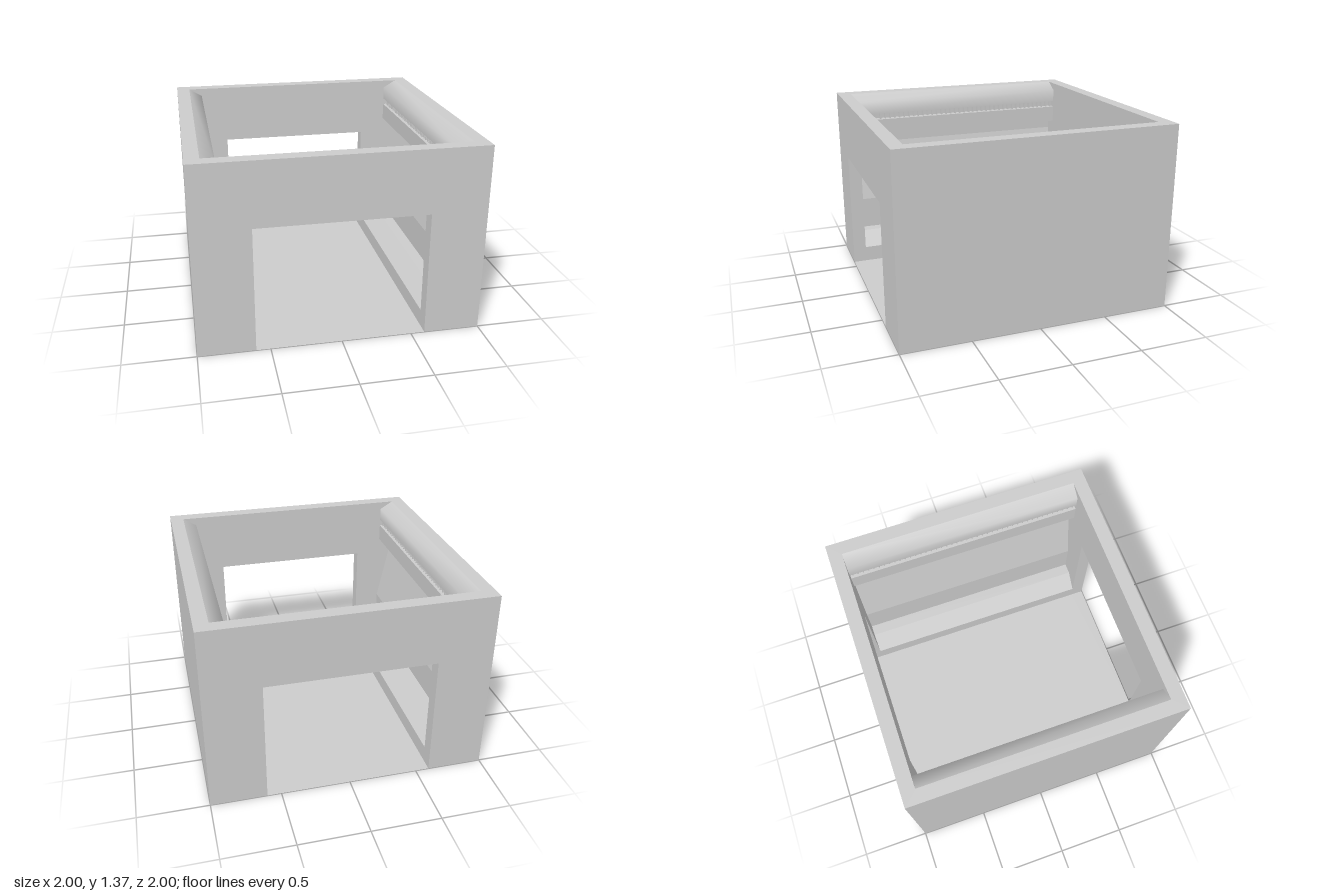
import * as THREE from 'three';

const H = 1.37, DOOR_X = 0.6, DOOR_Y = 0.91, IN = 0.9;

export function createModel() {
  const model = new THREE.Group();
  const panelGrey = new THREE.MeshStandardMaterial({ color: 0xcccccc, side: THREE.DoubleSide });
  panelGrey.name = 'panelGrey';

  const add = (name, geometry, x = 0, y = 0, z = 0) => {
    const mesh = new THREE.Mesh(geometry, panelGrey);
    mesh.name = name;
    mesh.position.set(x, y, z);
    model.add(mesh);
    return mesh;
  };

  // Sweep an open x/y profile along z
  const sweep = (points, half, smooth = false) => {
    const pos = [], idx = [];
    points.forEach(([x, y], i) => {
      pos.push(x, y, half, x, y, -half);
      if (i) { const a = 2 * i - 2; idx.push(a, a + 1, a + 2, a + 1, a + 3, a + 2); }
    });
    let g = new THREE.BufferGeometry();
    g.setAttribute('position', new THREE.Float32BufferAttribute(pos, 3));
    g.setIndex(idx);
    if (!smooth) g = g.toNonIndexed();
    g.computeVertexNormals();
    return g;
  };
  const flat = (points) => new THREE.ShapeGeometry(new THREE.Shape(points.map(([x, y]) => new THREE.Vector2(x, y))));
  const mirror = (points) => points.map(([x, y]) => [-x, y]);

  // Interior side profiles, from the rim down
  const roll = [[IN, H], [0.8, 1.31], [0.8, 1.21]];
  const lining = [[0.8, 1.21], [0.86, 1.21], [0.86, 1.16], [0.8, 1.16], [0.8, 1.03],
    [IN, 1.03], [IN, 0.95], [0.8, 0.48], [0.8, 0]];
  const step = [[0.8, 0.23], [0.715, 0.23], [DOOR_X, 0.12], [DOOR_X, 0]];
  const door = [[DOOR_X, 0], [DOOR_X, DOOR_Y], [-DOOR_X, DOOR_Y], [-DOOR_X, 0]];

  for (const s of [1, -1]) {
    const side = s > 0 ? 'left' : 'right';
    const put = (p) => (s > 0 ? p : mirror(p));
    add(side + 'OuterWall', sweep([[s, 0], [s, H]], 1));
    add(side + 'RoundedTopTrim', sweep(put(roll), IN, true));
    add(side + 'Lining', sweep(put(lining), IN));
    add(side + 'Step', sweep(put(step), IN));

    // Vent fins in the slot
    for (let i = 0; i < 44; i++) {
      add(side + 'VentFin', new THREE.BoxGeometry(0.04, 0.05, 0.008), s * 0.84, 1.185, -0.88 + i * 1.76 / 43);
    }
  }

  // End walls: outer skin, inner skin and door frame
  const outer = [[1, 0], [1, H], [-1, H], [-1, 0], ...[...door].reverse()];
  const half = [...roll, ...lining.slice(1)];
  const inner = [...half, ...door, ...mirror(half).reverse()];
  for (const s of [1, -1]) {
    const end = s > 0 ? 'front' : 'back';
    add(end + 'OuterWall', flat(outer), 0, 0, s).rotation.y = s > 0 ? 0 : Math.PI;
    add(end + 'InnerWall', flat(inner), 0, 0, s * IN).rotation.y = s > 0 ? Math.PI : 0;
    add(end + 'DoorFrame', sweep(door, 0.05), 0, 0, s * 0.95);
  }

  // Top rim around the opening
  const rim = new THREE.Shape([[-1, -1], [1, -1], [1, 1], [-1, 1]].map(([x, y]) => new THREE.Vector2(x, y)));
  rim.holes.push(new THREE.Path([[-IN, -IN], [-IN, IN], [IN, IN], [IN, -IN]].map(([x, y]) => new THREE.Vector2(x, y))));
  add('topRim', new THREE.ShapeGeometry(rim), 0, H, 0).rotation.x = -Math.PI / 2;

  // Floor with both thresholds
  const floor = [[-DOOR_X, -1], [DOOR_X, -1], [DOOR_X, -IN], [IN, -IN], [IN, IN], [DOOR_X, IN], [DOOR_X, 1], [-DOOR_X, 1]];
  add('floor', flat(floor)).rotation.x = -Math.PI / 2;

  return model;
}
